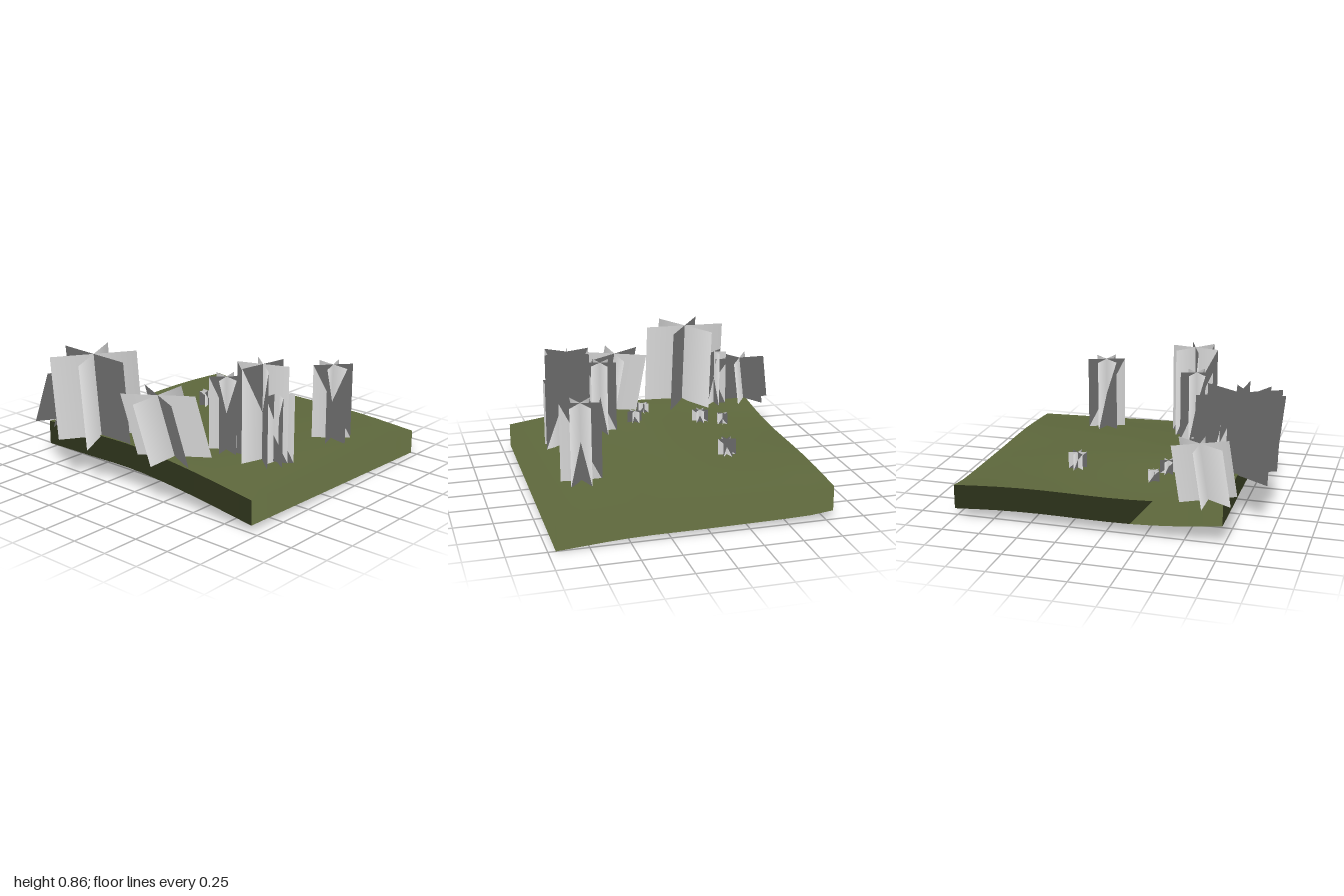
import * as THREE from 'three';

const olive = new THREE.MeshStandardMaterial({ color: 0x5f693d, name: 'olive ground', side: THREE.DoubleSide });
const grey = new THREE.MeshStandardMaterial({ color: 0xc8c8c8, name: 'pale grey foliage', side: THREE.DoubleSide });

const SIZE = 1.745, CX = 0.08, CZ = -0.1275, THICK = 0.16;

// Ground heights along the front and back edges, blended between them
const curve = (points) => new THREE.SplineCurve(points.map(([x, y]) => new THREE.Vector2(x, y))).getPoints(60);
const frontEdge = curve([[-0.79, 0.295], [-0.4, 0.302], [0, 0.308], [0.45, 0.272], [0.95, 0.207]]);
const backEdge = curve([[-0.79, 0.22], [-0.6, 0.202], [0, 0.194], [0.5, 0.19], [0.95, 0.16]]);

function sample(points, x) {
  let i = 1;
  while (i < points.length - 1 && points[i].x < x) i++;
  const a = points[i - 1], b = points[i];
  return THREE.MathUtils.lerp(a.y, b.y, THREE.MathUtils.clamp((x - a.x) / (b.x - a.x), 0, 1));
}

function groundHeight(x, z) {
  const t = THREE.MathUtils.clamp((z - (CZ - SIZE / 2)) / SIZE, 0, 1);
  // Gentle rise at the back left, hollow towards the front left
  const wave = 0.015 * (Math.sin(2 * Math.PI * t) - Math.sin(Math.PI * t)) * THREE.MathUtils.clamp(-x / 0.79, 0, 1);
  return THREE.MathUtils.lerp(sample(backEdge, x), sample(frontEdge, x), t) + wave;
}

// Rolling sheet of turf with a skirt, open underneath
function makeGround() {
  const geo = new THREE.BoxGeometry(SIZE, THICK, SIZE, 12, 1, 12).translate(CX, -THICK / 2, CZ);
  const underside = geo.groups[3];
  geo.setIndex(Array.from(geo.index.array).filter(
    (_, k) => k < underside.start || k >= underside.start + underside.count));
  geo.clearGroups();

  // The skirt is shaded like the turf above it
  const pos = geo.attributes.position, e = 0.05, n = new THREE.Vector3();
  for (let i = 0; i < pos.count; i++) {
    const x = pos.getX(i), z = pos.getZ(i);
    pos.setY(i, pos.getY(i) + groundHeight(x, z));
    n.set(groundHeight(x - e, z) - groundHeight(x + e, z), 2 * e,
      groundHeight(x, z - e) - groundHeight(x, z + e)).normalize();
    geo.attributes.normal.setXYZ(i, n.x, n.y, n.z);
  }
  const mesh = new THREE.Mesh(geo, olive);
  mesh.name = 'ground';
  return mesh;
}

// Three upright cards crossing at 60 degrees; lean moves their tops sideways.
// Soft normals point up and outward.
function makePlant({ name, x, z, r, top, base = groundHeight(x, z) - 0.005, turn = 0, lean = [0, 0] }) {
  const plant = new THREE.Group();
  plant.name = name;
  for (let i = 0; i < 3; i++) {
    const a = THREE.MathUtils.degToRad(turn + i * 60);
    const geo = new THREE.PlaneGeometry(2, 1);
    const pos = geo.attributes.position, n = new THREE.Vector3();
    for (let v = 0; v < pos.count; v++) {
      const side = pos.getX(v), up = pos.getY(v) + 0.5;
      pos.setXYZ(v,
        x + side * r * Math.cos(a) + lean[0] * up,
        THREE.MathUtils.lerp(base, top, up),
        z + side * r * Math.sin(a) + lean[1] * up);
      n.set(side * Math.cos(a) * 0.6, 1, side * Math.sin(a) * 0.6).normalize();
      geo.attributes.normal.setXYZ(v, n.x, n.y, n.z);
    }
    const card = new THREE.Mesh(geo, grey);
    card.name = 'foliageCard';
    plant.add(card);
  }
  return plant;
}

const plants = [
  // Leaning trees along the front edge
  { name: 'leftLeaningTree', x: -0.77, z: 0.65, r: 0.182, base: 0.29, top: 0.62, turn: 1, lean: [0.06, -0.07] },
  { name: 'largeTree', x: -0.318, z: 0.722, r: 0.278, base: 0.295, top: 0.845, turn: 3, lean: [-0.027, 0.022] },
  { name: 'rightLeaningTree', x: 0.276, z: 0.67, r: 0.232, base: 0.29, top: 0.68, turn: 26, lean: [-0.09, 0.05] },
  // Upright trees
  { name: 'tallTree', x: 0.623, z: 0.24, r: 0.168, top: 0.855, turn: 40 },
  { name: 'slimTree', x: 0.695, z: 0.185, r: 0.11, top: 0.67, turn: 33 },
  { name: 'middleTree', x: 0.385, z: 0.305, r: 0.11, top: 0.742, turn: 15 },
  { name: 'backTree', x: 0.675, z: -0.43, r: 0.132, top: 0.71, turn: 11 },
  { name: 'hiddenTree', x: -0.53, z: 0.62, r: 0.085, top: 0.67, turn: 20 },
  // Low shrubs
  { name: 'backShrub', x: -0.32, z: -0.325, r: 0.06, top: 0.345, turn: 10 },
  { name: 'leftShrub', x: -0.47, z: 0.23, r: 0.04, top: 0.33, turn: 40 },
  { name: 'middleShrub', x: -0.325, z: 0.29, r: 0.055, top: 0.35, turn: 15 },
  { name: 'rightShrub', x: 0.13, z: 0.37, r: 0.05, top: 0.355, turn: 0 },
  { name: 'frontShrub', x: 0.03, z: 0.52, r: 0.042, top: 0.357, turn: 30 },
];

export function createModel() {
  const model = new THREE.Group();
  model.name = 'woodlandTile';
  model.add(makeGround(), ...plants.map(makePlant));
  return model;
}
